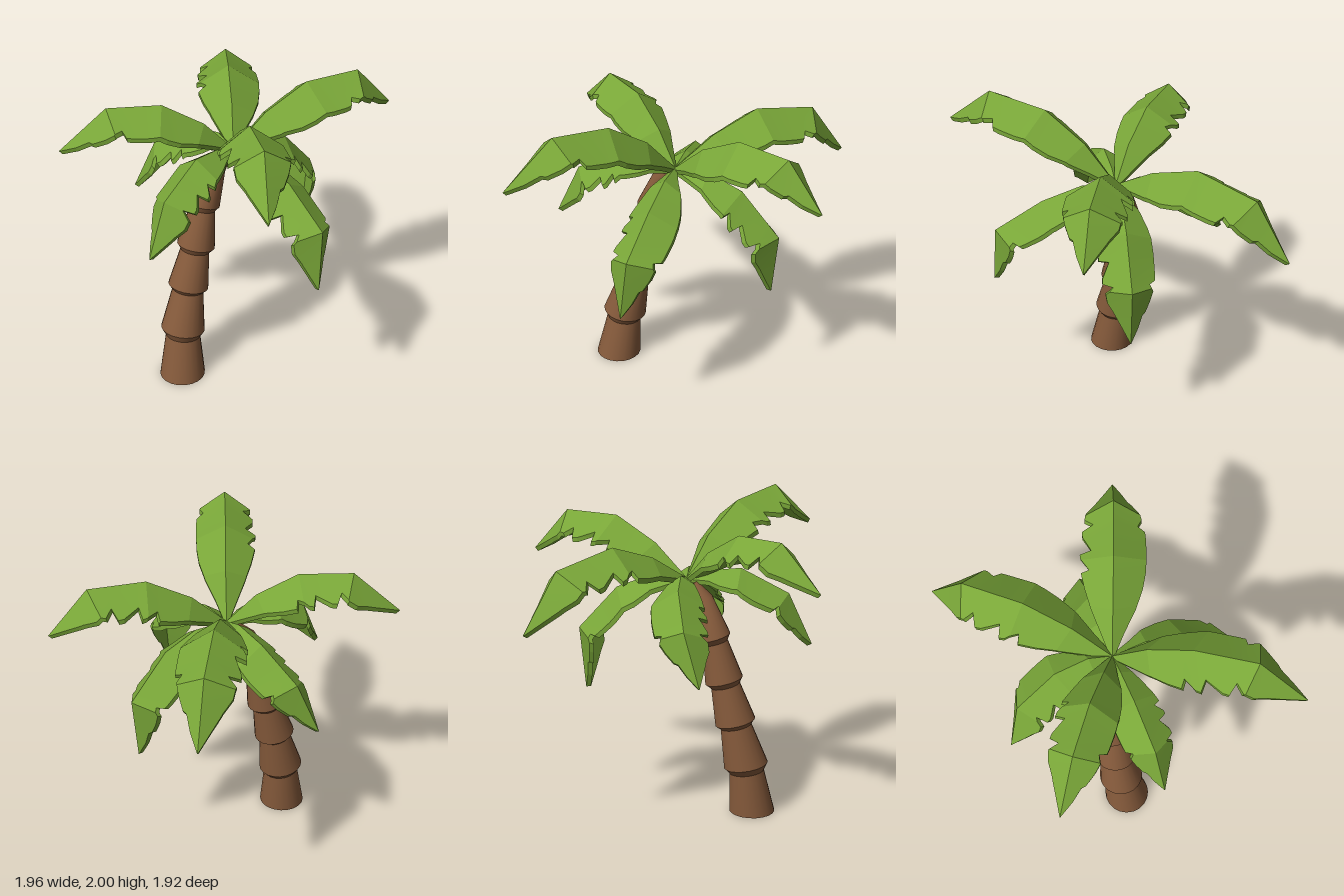
import * as THREE from 'three';
import { toCreasedNormals } from 'three/addons/utils/BufferGeometryUtils.js';

const V = (x, y, z) => new THREE.Vector3(x, y, z);

// Skin a list of equal-length rings of points, closing both ends
function loft(rings) {
  const n = rings[0].length, last = (rings.length - 1) * n, index = [];
  for (let i = 0; i < rings.length - 1; i++) {
    for (let k = 0; k < n; k++) {
      const a = i * n + k, b = i * n + (k + 1) % n;
      index.push(a, b, b + n, a, b + n, a + n);
    }
  }
  for (let k = 1; k < n - 1; k++) {
    index.push(0, k + 1, k, last, last + k, last + k + 1);
  }
  const geometry = new THREE.BufferGeometry().setFromPoints(rings.flat());
  geometry.setIndex(index);
  return geometry;
}

// Frond outline: distance along the rib, width of smooth side, width of torn side
const OUTLINE = [
  [0, 0.02, 0.02], [0.1, 0.09, 0.09], [0.2, 0.17, 0.16], [0.3, 0.22, 0.21],
  [0.385, 0.24, 0.24], [0.4, 0.24, 0.18], [0.46, 0.245, 0.245], [0.49, 0.245, 0.25],
  [0.505, 0.245, 0.165], [0.6, 0.24, 0.23], [0.635, 0.235, 0.235], [0.65, 0.18, 0.15],
  [0.7, 0.21, 0.215], [0.76, 0.185, 0.2], [0.83, 0.14, 0.14], [0.845, 0.11, 0.13],
  [0.92, 0.07, 0.07], [1, 0.003, 0.003],
];

function widthAt(s, column) {
  const i = Math.max(1, OUTLINE.findIndex((row) => row[0] >= s));
  const a = OUTLINE[i - 1], b = OUTLINE[i];
  return THREE.MathUtils.lerp(a[column], b[column], (s - a[0]) / (b[0] - a[0]));
}

// Roof-shaped frond hanging from a bent rib
function frondGeometry(rib, scale, tornSide) {
  const thickness = 0.03;
  const lengths = [0];
  for (let i = 1; i < rib.length; i++) lengths.push(lengths[i - 1] + rib[i].distanceTo(rib[i - 1]));
  const marks = lengths.map((l) => l / lengths[lengths.length - 1]);
  marks[marks.length - 1] = 1;
  const heading = rib[rib.length - 1].clone().sub(rib[0]).setY(0).normalize();
  const side = heading.cross(V(0, 1, 0));
  const tangents = rib.map((p, i) => {
    const before = rib[Math.max(i - 1, 0)], after = rib[Math.min(i + 1, rib.length - 1)];
    const t = V(0, 0, 0);
    if (before !== p) t.add(p.clone().sub(before).normalize());
    if (after !== p) t.add(after.clone().sub(p).normalize());
    return t.normalize();
  });
  const stations = [...new Set([...OUTLINE.map((row) => row[0]), ...marks])].sort((a, b) => a - b);
  const rings = stations.map((s) => {
    const i = Math.max(1, marks.findIndex((m) => m >= s));
    const f = (s - marks[i - 1]) / (marks[i] - marks[i - 1]);
    const top = rib[i - 1].clone().lerp(rib[i], f);
    const tangent = tangents[i - 1].clone().lerp(tangents[i], f).normalize();
    const normal = side.clone().cross(tangent).normalize();
    const edge = (sign) => {
      const w = scale * widthAt(s, sign === tornSide ? 2 : 1);
      return top.clone().addScaledVector(side, sign * w * 0.82).addScaledVector(normal, -w * 0.57);
    };
    const upper = [edge(-1), top, edge(1)];
    const lower = upper.map((p) => p.clone().addScaledVector(normal, -thickness)).reverse();
    return [...upper, ...lower];
  });
  return toCreasedNormals(loft(rings), 0.1);
}

// Each frond: rib points after the crown, width scale, torn side (-1 left, 1 right of its heading)
const FRONDS = [
  ['backLeftFrond', 1, -1, [[0.09, 1.7, -0.23], [0.29, 1.81, -0.47], [0.56, 1.73, -0.78], [0.72, 1.38, -0.96]]],
  ['leftHighFrond', 1, -1, [[0.12, 1.73, 0.04], [0.39, 1.88, 0.13], [0.74, 1.88, 0.24], [0.98, 1.6, 0.31]]],
  ['leftLowFrond', 0.84, 1, [[0.14, 1.54, -0.03], [0.36, 1.45, -0.03], [0.61, 1.17, -0.03], [0.57, 0.77, -0.03]]],
  ['frontLowFrond', 0.84, 1, [[-0.07, 1.55, 0.19], [-0.07, 1.46, 0.44], [-0.09, 1.26, 0.74], [-0.13, 0.87, 0.76]]],
  ['frontRightFrond', 0.95, 1, [[-0.2, 1.77, 0.15], [-0.35, 1.95, 0.38], [-0.56, 2.0, 0.71], [-0.77, 1.72, 0.96]]],
  ['rightLowFrond', 0.8, -1, [[-0.22, 1.58, -0.02], [-0.43, 1.6, 0.0], [-0.73, 1.44, 0.04], [-0.88, 1.11, 0.06]]],
  ['backRightFrond', 0.9, 1, [[-0.24, 1.72, -0.13], [-0.45, 1.87, -0.28], [-0.73, 1.88, -0.47], [-0.98, 1.62, -0.63]]],
  ['backLowFrond', 0.84, -1, [[-0.08, 1.58, -0.18], [-0.1, 1.54, -0.4], [-0.18, 1.36, -0.67], [-0.29, 1.04, -0.76]]],
];

// Trunk rings: x, y, z, radius, tilt
const TRUNK = [
  [-0.53, 0, -0.065, 0.147, 0], [-0.495, 0.28, -0.09, 0.112, 0.12],
  [-0.49, 0.325, -0.095, 0.142, 0.16], [-0.425, 0.59, -0.11, 0.1, 0.2],
  [-0.42, 0.62, -0.11, 0.13, 0.22], [-0.355, 0.86, -0.112, 0.093, 0.24],
  [-0.345, 0.895, -0.112, 0.122, 0.24], [-0.285, 1.14, -0.11, 0.082, 0.26],
  [-0.278, 1.175, -0.11, 0.106, 0.28], [-0.2, 1.41, -0.08, 0.065, 0.35],
  [-0.13, 1.5, -0.05, 0.035, 0.5],
];

function trunkGeometry() {
  const sides = 20;
  const rings = TRUNK.map(([x, y, z, r, tilt]) => Array.from({ length: sides }, (_, k) => {
    const a = (k / sides) * Math.PI * 2;
    return V(r * Math.cos(a), 0, -r * Math.sin(a)).applyAxisAngle(V(0, 0, 1), -tilt).add(V(x, y, z));
  }));
  return toCreasedNormals(loft(rings), 0.6);
}

export function createModel() {
  const bark = new THREE.MeshStandardMaterial({ color: 0x855a3b });
  bark.name = 'bark brown';
  const leaf = new THREE.MeshStandardMaterial({ color: 0x79a638 });
  leaf.name = 'leaf green';

  const tree = new THREE.Group();
  tree.name = 'palmTree';

  const trunk = new THREE.Mesh(trunkGeometry(), bark);
  trunk.name = 'trunk';
  tree.add(trunk);

  // Crown of fronds
  const crown = new THREE.Group();
  crown.name = 'crown';
  for (const [name, scale, torn, points] of FRONDS) {
    const rib = [V(-0.09, 1.53, -0.03), ...points.map((p) => V(...p))];
    const frond = new THREE.Mesh(frondGeometry(rib, scale, torn), leaf);
    frond.name = name;
    crown.add(frond);
  }
  tree.add(crown);
  return tree;
}
